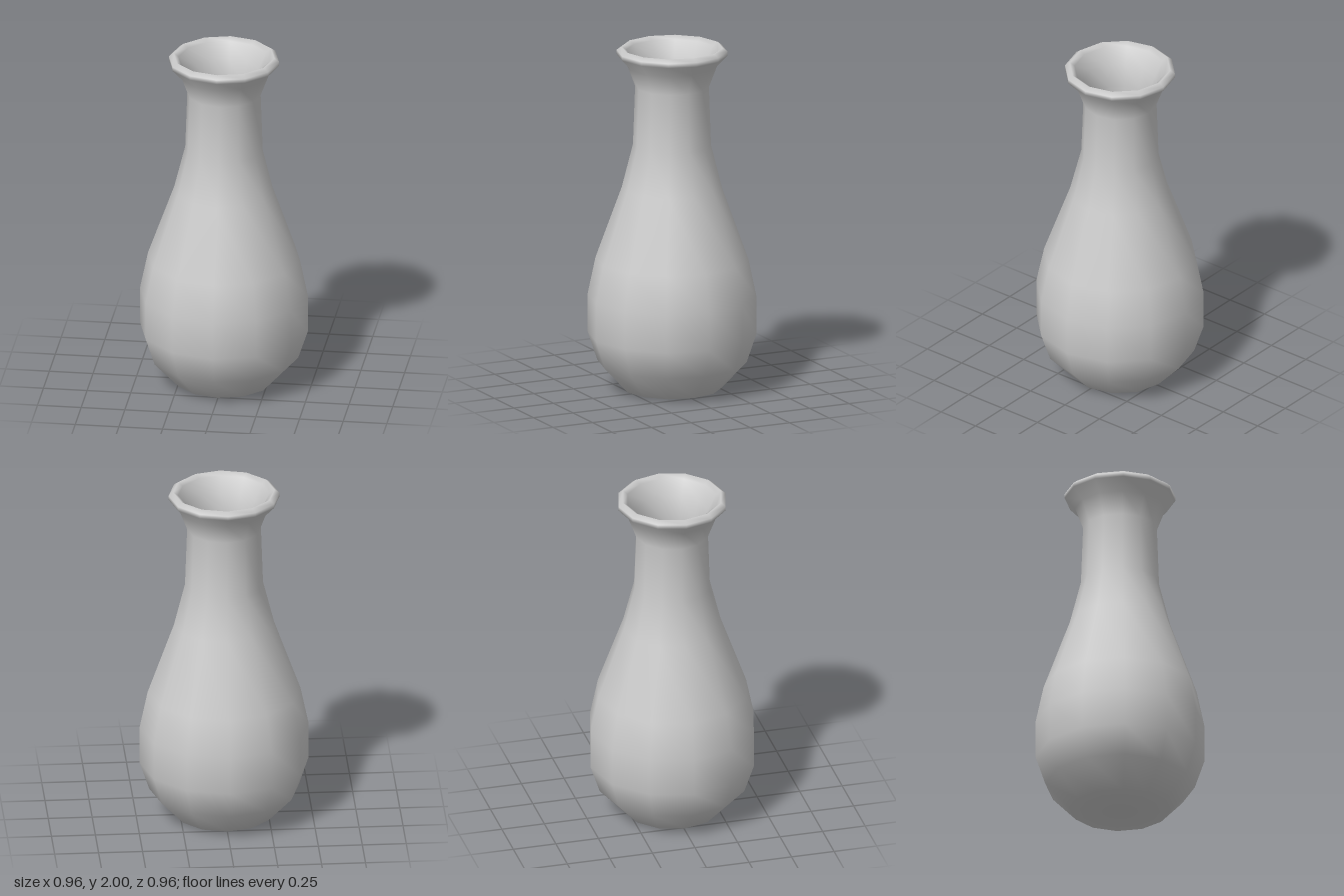
import * as THREE from 'three';

export function createModel() {
  const group = new THREE.Group();
  group.name = 'vase';
  const material = new THREE.MeshStandardMaterial({ color: 0xcccccc });

  // One closed profile: underside, belly, neck, rolled rim, then down the hollow inside
  const profile = [
    // underside and outer wall
    [0, 0], [0.05, 0], [0.28, 0.01], [0.425, 0.165], [0.48, 0.33], [0.48, 0.55],
    [0.435, 0.765], [0.285, 1.18], [0.222, 1.43], [0.21, 1.77],
    // flared lip
    [0.255, 1.89], [0.315, 1.955], [0.315, 1.98], [0.288, 2.0], [0.26, 1.98],
    // inner wall and floor
    [0.213, 1.89], [0.173, 1.77], [0.18, 1.43], [0.243, 1.18], [0.393, 0.765],
    [0.436, 0.55], [0.436, 0.34], [0.385, 0.19], [0.26, 0.06], [0, 0.05],
  ].map(([r, y]) => new THREE.Vector2(r, y));

  const body = new THREE.Mesh(new THREE.LatheGeometry(profile, 12), material);
  body.name = 'vaseBody';
  group.add(body);
  return group;
}
